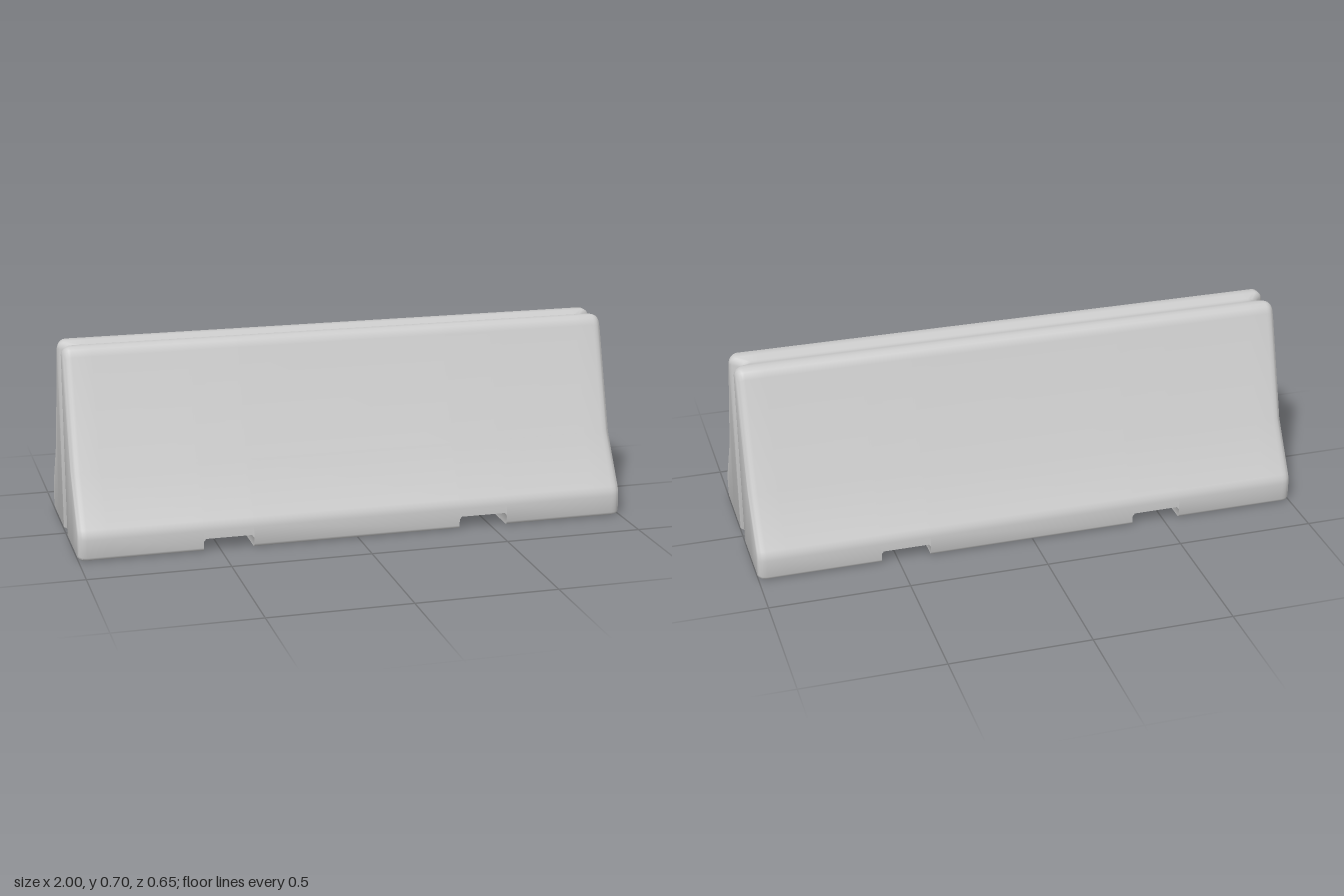
import * as THREE from 'three';
import { toCreasedNormals } from 'three/addons/utils/BufferGeometryUtils.js';

// Half of the barrier's section, from the middle outwards:
// z, top height, bottom height, depth of the end groove
const HALF = [
  [0, 0.689, 0, 0.04],
  [0.012, 0.69, 0, 0.035],
  [0.035, 0.699, 0, 0.007],
  [0.045, 0.70, 0, 0],
  [0.068, 0.70, 0, 0],
  [0.081, 0.692, 0, 0],
  [0.092, 0.668, 0, 0],
  [0.205, 0.29, 0, 0],
  [0.312, 0.108, 0, 0],
  [0.32, 0.093, 0.004, 0],
  [0.323, 0.075, 0.012, 0],
];
const COLUMNS = [
  ...HALF.slice(1).reverse().map(([z, ...rest]) => [-z, ...rest]),
  ...HALF,
];

// Stations along the length: x, lowest underside height, edge rounding 0..1, groove on/off
function makeStations() {
  const half = [
    [0.38, 0, 0, 0], [0.38, 0.035, 0, 0], [0.388, 0.045, 0, 0],
    [0.552, 0.045, 0, 0], [0.56, 0.035, 0, 0], [0.56, 0, 0, 0],
    [0.9, 0, 0, 0],
  ];
  const steps = 6, r = 0.032;
  for (let i = 0; i <= steps; i++) {
    const a = (i / steps) * Math.PI / 2;
    half.push([1 - r + r * Math.sin(a), 0, 1 - Math.cos(a), 1]);
  }
  const mirrored = half.map(([x, ...rest]) => [-x, ...rest]).reverse();
  return [...mirrored, ...half];
}

// Closed loop of points: along the top, then back along the underside
function makeLoop([x, floor, round, grooved]) {
  const at = ([z, top, bottom, groove], upper) => {
    const inset = Math.abs(z) > 0.06 ? 0.02 * round : 0;
    const y = upper
      ? top - 0.03 * round * THREE.MathUtils.smoothstep(top, 0.1, 0.6)
      : Math.max(bottom + 0.008 * round, floor);
    return new THREE.Vector3(
      x - Math.sign(x) * groove * grooved, y, z - Math.sign(z) * inset);
  };
  return [
    ...COLUMNS.map((c) => at(c, true)),
    ...COLUMNS.map((c) => at(c, false)).reverse(),
  ];
}

function makeBarrierGeometry() {
  const positions = [];
  const tri = new THREE.Triangle();
  const addTriangle = (a, b, c) => {
    if (tri.set(a, b, c).getArea() < 1e-9) return;
    for (const p of [a, b, c]) positions.push(p.x, p.y, p.z);
  };
  const addQuad = (a, b, c, d) => {
    addTriangle(a, b, c);
    addTriangle(a, c, d);
  };

  // Skin between neighbouring stations, including the walls of the floor slots
  const loops = makeStations().map(makeLoop);
  const n = loops[0].length;
  for (let s = 0; s < loops.length - 1; s++) {
    for (let i = 0; i < n; i++) {
      const j = (i + 1) % n;
      addQuad(loops[s][i], loops[s][j], loops[s + 1][j], loops[s + 1][i]);
    }
  }

  // End faces with their vertical grooves
  const first = loops[0], last = loops[loops.length - 1];
  for (let i = 0; i < COLUMNS.length - 1; i++) {
    const k = n - 1 - i;
    addQuad(last[i], last[i + 1], last[k - 1], last[k]);
    addQuad(first[k], first[k - 1], first[i + 1], first[i]);
  }

  const geometry = new THREE.BufferGeometry();
  geometry.setAttribute('position', new THREE.Float32BufferAttribute(positions, 3));
  return toCreasedNormals(geometry, 0.75);
}

export function createModel() {
  const model = new THREE.Group();
  model.name = 'roadBarrier';
  const body = new THREE.Mesh(
    makeBarrierGeometry(),
    new THREE.MeshStandardMaterial({ color: 0xcccccc }));
  body.name = 'barrierBody';
  model.add(body);
  return model;
}
